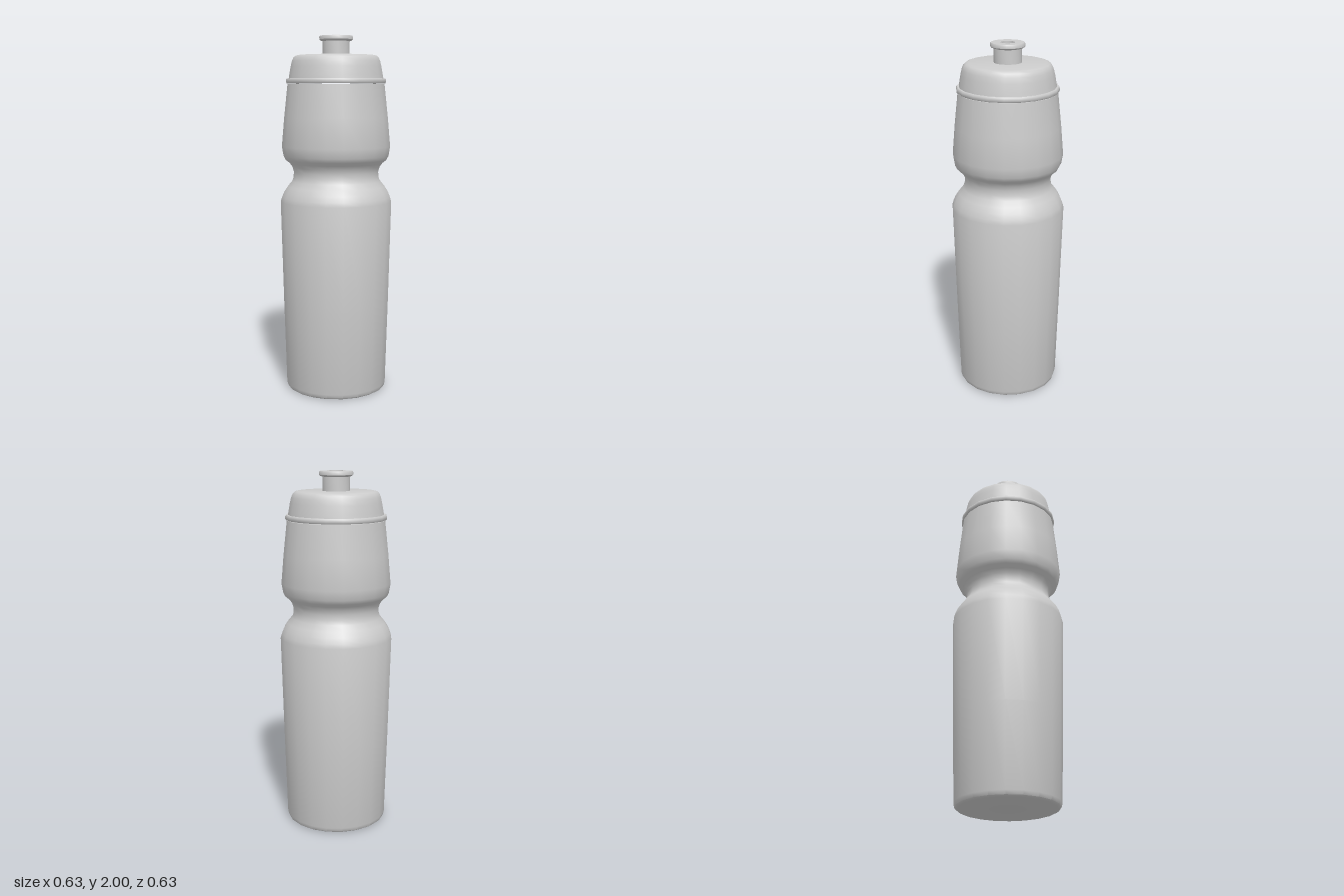
import * as THREE from 'three';
import { toCreasedNormals } from 'three/addons/utils/BufferGeometryUtils.js';

const SIDES = 20;
const material = new THREE.MeshStandardMaterial({ color: 0xcccccc });

// Turned part from [radius, height] pairs running from the bottom up the outside
function turned(name, profile, crease = 0.75) {
  const points = profile.map(([r, y]) => new THREE.Vector2(r, y));
  const geometry = toCreasedNormals(new THREE.LatheGeometry(points, SIDES), crease);
  const mesh = new THREE.Mesh(geometry, material);
  mesh.name = name;
  return mesh;
}

export function createModel() {
  const group = new THREE.Group();
  group.name = 'sportsBottle';

  // Tapered body with a rounded grip waist
  group.add(turned('body', [
    [0, 0], [0.268, 0], [0.28, 0.008], [0.286, 0.03],
    [0.3, 0.5], [0.315, 1.08],
    [0.308, 1.105], [0.295, 1.135], [0.275, 1.165], [0.25, 1.195],
    [0.241, 1.22], [0.24, 1.25], [0.247, 1.275], [0.262, 1.297],
    [0.285, 1.315], [0.297, 1.338], [0.306, 1.39],
    [0.292, 1.55], [0.272, 1.735], [0, 1.735],
  ]));

  // Rolled rim between body and lid
  group.add(turned('rim', [
    [0.262, 1.738], [0.275, 1.738], [0.28, 1.744], [0.28, 1.76], [0.275, 1.766], [0.262, 1.766],
  ]));

  // Domed lid with a flat top
  group.add(turned('lid', [
    [0.266, 1.76], [0.262, 1.785], [0.254, 1.83], [0.247, 1.86],
    [0.239, 1.879], [0.227, 1.89], [0.212, 1.894], [0, 1.894],
  ]));

  // Pull spout with a flared lip and a shallow drinking hole
  group.add(turned('spout', [
    [0.075, 1.89], [0.075, 1.97], [0.088, 1.974], [0.094, 1.98],
    [0.094, 1.994], [0.09, 2], [0.038, 2], [0.038, 1.985], [0, 1.985],
  ]));

  return group;
}
